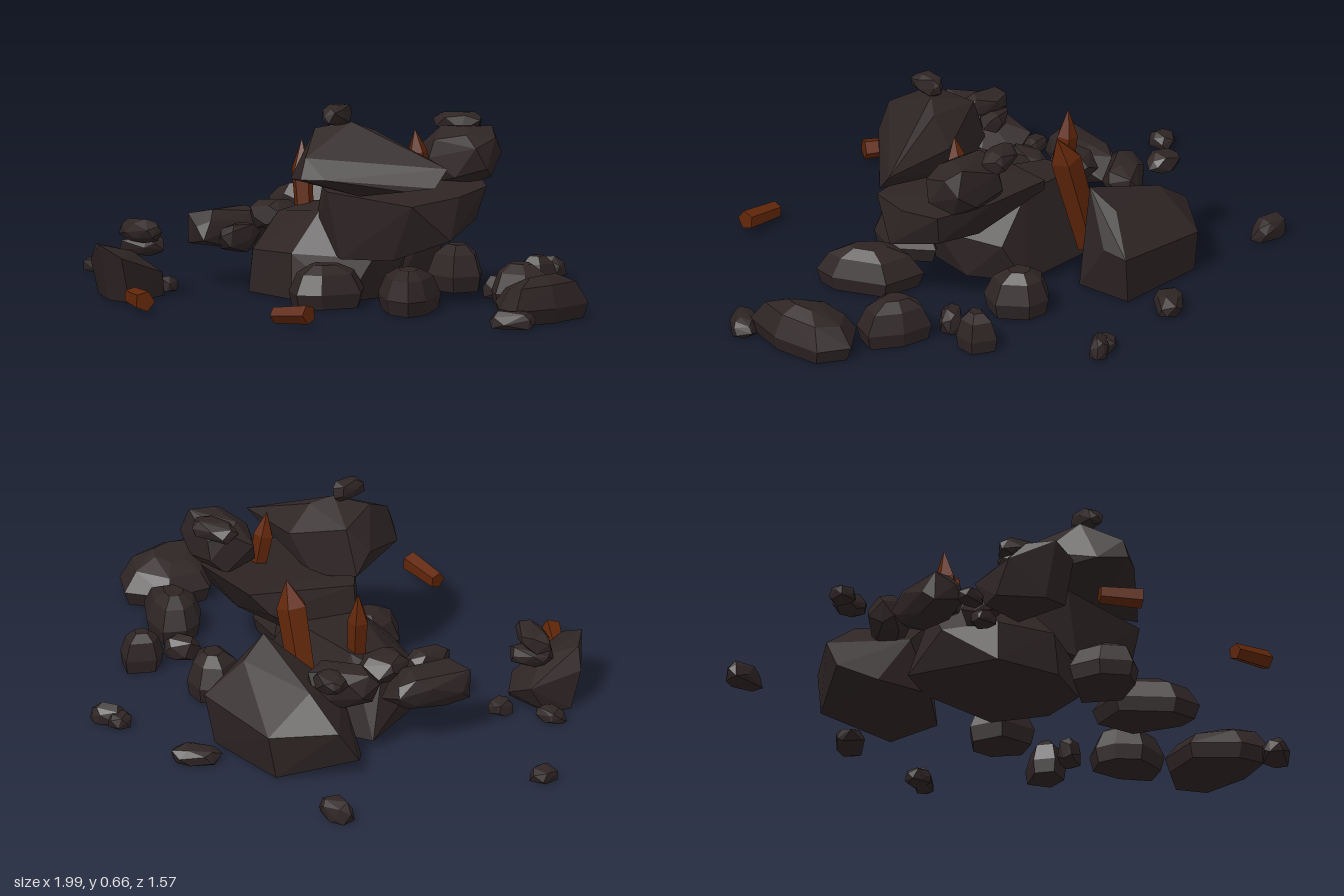
import * as THREE from 'three';
import { ConvexGeometry } from 'three/addons/geometries/ConvexGeometry.js';

const stone = new THREE.MeshStandardMaterial({ color: 0x2e2424 });
stone.name = 'dark stone';
const wood = new THREE.MeshStandardMaterial({ color: 0x602609 });
wood.name = 'splintered wood';

// Faceted solid around a handful of corner points
function hull(name, points, material = stone) {
  const mesh = new THREE.Mesh(new ConvexGeometry(points.map(p => new THREE.Vector3(...p))), material);
  mesh.name = name;
  return mesh;
}

function seeded(seed) {
  let s = seed * 7919 + 13;
  return () => (s = (s * 16807) % 2147483647) / 2147483647;
}

// Chipped rock filling a box; yaw turns its long axis, flat gives it a ground face
function rock(name, seed, [x0, x1], [y0, y1], [z0, z1], yaw = null, flat = true) {
  const rand = seeded(seed), n = 22, box = new THREE.Box3(), pts = [];
  for (let i = 0; i < 5; i++) rand();
  for (let i = 0; i < n; i++) {
    const y = 1 - (2 * i + 1) / n, a = i * 2.4 + rand() * 0.7, r = Math.sqrt(1 - y * y);
    const bulge = v => Math.sign(v) * Math.pow(Math.abs(v), 0.8);
    const p = new THREE.Vector3(bulge(r * Math.cos(a)), bulge(y), bulge(r * Math.sin(a)));
    p.multiplyScalar(0.88 + rand() * 0.2);
    if (flat) p.y = Math.max(p.y, -0.5);
    if (yaw !== null) { p.x *= 1.8; p.applyAxisAngle(new THREE.Vector3(0, 1, 0), yaw); }
    box.expandByPoint(p);
    pts.push(p);
  }
  const size = box.getSize(new THREE.Vector3());
  return hull(name, pts.map(p => [
    x0 + (p.x - box.min.x) / size.x * (x1 - x0),
    y0 + (p.y - box.min.y) / size.y * (y1 - y0),
    z0 + (p.z - box.min.z) / size.z * (z1 - z0)]));
}

// Domed ground rock from its [x, z] outline; tilt raises the top towards +x
function outlineRock(name, outline, height, tilt = 0) {
  const cx = outline.reduce((s, p) => s + p[0], 0) / outline.length;
  const cz = outline.reduce((s, p) => s + p[1], 0) / outline.length;
  const ring = (scale, y, slope) => outline.map(([x, z]) =>
    [cx + (x - cx) * scale, y + (x - cx) * slope, cz + (z - cz) * scale]);
  return hull(name, [...ring(0.9, 0, 0), ...ring(1, height * 0.35, 0),
    ...ring(0.75, height * 0.8, tilt), ...ring(0.35, height, tilt)]);
}

// Five sided timber from a to b, with an optional pointed end
function timber(name, a, b, radius, tip) {
  const start = new THREE.Vector3(...a), end = new THREE.Vector3(...b);
  const axis = end.clone().sub(start), length = axis.length();
  const turn = new THREE.Quaternion().setFromUnitVectors(new THREE.Vector3(0, 1, 0), axis.normalize());
  const pts = [];
  for (let i = 0; i < 5; i++) {
    const t = i / 5 * Math.PI * 2 + 0.3, c = Math.cos(t) * radius, s = Math.sin(t) * radius;
    pts.push([c * 0.85, 0, s * 0.85], [c, length - tip, s]);
  }
  if (tip) pts.push([radius * 0.2, length, 0]);
  return hull(name, pts.map(p => new THREE.Vector3(...p).applyQuaternion(turn).add(start).toArray()), wood);
}

export function createModel() {
  const model = new THREE.Group();
  model.name = 'rubblePile';

  // Large boulders of the heap
  model.add(
    hull('backBoulder', [
      [-0.4, 0, -0.56], [-0.08, 0, -0.56], [-0.39, 0.15, -0.585], [-0.05, 0.17, -0.58], [-0.06, 0, -0.36],
      [-0.04, 0.18, -0.49], [-0.1, 0.35, -0.37], [-0.12, 0.29, -0.47], [-0.2, 0.31, -0.4], [-0.39, 0.26, -0.41],
      [-0.55, 0.05, -0.33], [-0.53, 0.16, -0.4], [-0.45, 0, -0.24], [-0.25, 0, -0.2], [-0.32, 0.18, -0.22]]),
    hull('baseMound', [
      [-0.4, 0, -0.15], [-0.39, 0.12, 0], [-0.36, 0.22, -0.08], [-0.28, 0, 0.15], [-0.27, 0.14, 0.14],
      [-0.05, 0, 0.2], [-0.06, 0.15, 0.19], [0.12, 0, 0.12], [0.18, 0.14, 0.06], [0.15, 0, -0.05],
      [0.12, 0.14, -0.18], [0.05, 0, -0.22], [-0.25, 0, -0.22], [-0.27, 0.27, -0.14], [0, 0.3, -0.18],
      [-0.05, 0.28, 0.06], [-0.28, 0.25, 0]]),
    hull('lowerSlab', [
      [-0.1, 0.19, 0.03], [-0.04, 0.36, 0.06], [0, 0.34, -0.26], [0.05, 0.41, -0.31], [0.3, 0.42, -0.31],
      [0.45, 0.38, -0.2], [0.46, 0.36, -0.05], [0.465, 0.22, 0], [0.42, 0.27, -0.18], [0.3, 0.15, 0.1],
      [0.1, 0.14, 0.13], [0.4, 0.34, 0.12], [0.05, 0.36, 0.14], [0.1, 0.22, -0.14], [0.25, 0.25, -0.2],
      [-0.05, 0.24, -0.12]]),
    hull('upperBoulder', [
      [-0.055, 0.4, 0.06], [-0.05, 0.47, 0.12], [0.03, 0.42, 0.3], [0.12, 0.43, 0.355], [0.19, 0.43, 0.31],
      [0.05, 0.58, 0.2], [0.14, 0.6, 0.12], [0.19, 0.57, 0.06], [0.3, 0.5, 0.08], [0.46, 0.46, 0.01],
      [0.45, 0.4, 0.06], [0.38, 0.39, 0.13], [0.2, 0.36, 0.15], [0, 0.55, 0.06], [0.2, 0.48, -0.02],
      [0.1, 0.36, 0], [0.12, 0.5, 0.33]]),
    hull('frontLeftBoulder', [
      [-0.6, 0, 0.42], [-0.59, 0.1, 0.36], [-0.5, 0.06, 0.34], [-0.43, 0, 0.4], [-0.42, 0.08, 0.42],
      [-0.41, 0, 0.6], [-0.41, 0.15, 0.64], [-0.5, 0.19, 0.65], [-0.5, 0, 0.6], [-0.62, 0.12, 0.55],
      [-0.63, 0, 0.5], [-0.57, 0.18, 0.58], [-0.5, 0.15, 0.48]]));

  // Rocks resting on the heap
  const stacked = [
    [[0.18, 0.47], [0.38, 0.57], [-0.31, -0.12], null],
    [[0.17, 0.34], [0.53, 0.6], [-0.35, -0.24], 0.3],
    [[0.08, 0.15], [0.59, 0.66], [0.1, 0.22], null],
    [[-0.51, -0.38], [0.28, 0.35], [-0.42, -0.32], null],
    [[-0.48, -0.28], [0.17, 0.31], [-0.36, -0.17], 0.8],
    [[-0.42, -0.28], [0.18, 0.28], [-0.14, 0.02], null],
    [[-0.56, -0.42], [0.13, 0.2], [0.38, 0.5], 0.5],
    [[-0.57, -0.39], [0.18, 0.26], [0.41, 0.51], -0.3],
    [[-0.57, -0.38], [0.11, 0.25], [-0.13, 0.17], 1.3],
    [[-0.38, -0.29], [0.12, 0.22], [0.06, 0.23], 1.5]];
  stacked.forEach(([x, y, z, yaw], i) => model.add(rock('stackedRock', i + 1, x, y, z, yaw, false)));

  // Larger rocks around the foot of the heap: outline, height, tilt
  const footRocks = [
    [[[0.7, 0.05], [0.73, -0.1], [0.85, -0.19], [0.95, -0.13], [0.965, 0.05], [0.92, 0.2], [0.82, 0.17]], 0.14, 0.1],
    [[[0.51, -0.2], [0.55, -0.27], [0.66, -0.25], [0.76, -0.18], [0.72, -0.09], [0.6, -0.07], [0.53, -0.13]], 0.145, 0],
    [[[0.42, -0.4], [0.47, -0.49], [0.55, -0.45], [0.54, -0.37], [0.46, -0.34]], 0.13, 0],
    [[[0.52, 0.28], [0.53, 0.2], [0.45, 0.03], [0.3, 0], [0.27, 0.14], [0.42, 0.27]], 0.14, 0],
    [[[0, 0.2], [0.03, 0.31], [0.12, 0.375], [0.19, 0.33], [0.25, 0.2], [0.16, 0.08]], 0.14, 0],
    [[[0.1, -0.37], [0.16, -0.43], [0.24, -0.42], [0.31, -0.33], [0.27, -0.24], [0.14, -0.26]], 0.15, 0]];
  footRocks.forEach(([outline, h, tilt]) => model.add(outlineRock('footRock', outline, h, tilt)));

  // Small rocks scattered on the ground: x range, height, z range, yaw
  const scattered = [
    [[0.41, 0.51], 0.08, [-0.32, -0.22], 0.4],
    [[0.86, 0.99], 0.06, [0.15, 0.29], 0.7],
    [[-1, -0.92], 0.05, [0.07, 0.16], null],
    [[-0.81, -0.66], 0.07, [-0.62, -0.54], 0],
    [[-0.21, -0.07], 0.06, [-0.76, -0.62], 0.8],
    [[0.17, 0.25], 0.05, [-0.77, -0.69], null],
    [[0.2, 0.3], 0.07, [-0.79, -0.7], 0.4],
    [[-0.7, -0.6], 0.05, [0.36, 0.43], 0.2],
    [[-0.54, -0.46], 0.05, [0.27, 0.34], null]];
  scattered.forEach(([x, h, z, yaw], i) => model.add(rock('groundRock', i + 31, x, [0, h], z, yaw)));

  // Broken timbers sticking out, and two loose pieces in front
  model.add(
    timber('rearSpike', [-0.21, 0.06, -0.265], [-0.08, 0.5, -0.25], 0.053, 0.09),
    timber('leftSpike', [-0.25, 0.2, -0.1], [-0.28, 0.48, -0.11], 0.036, 0.1),
    timber('topSpike', [0.25, 0.38, -0.11], [0.235, 0.565, -0.08], 0.034, 0.08),
    timber('looseTimber', [-0.33, 0.04, 0.68], [-0.21, 0.04, 0.755], 0.035, 0),
    timber('looseTimber', [0.29, 0.035, 0.68], [0.435, 0.05, 0.68], 0.033, 0));

  return model;
}
